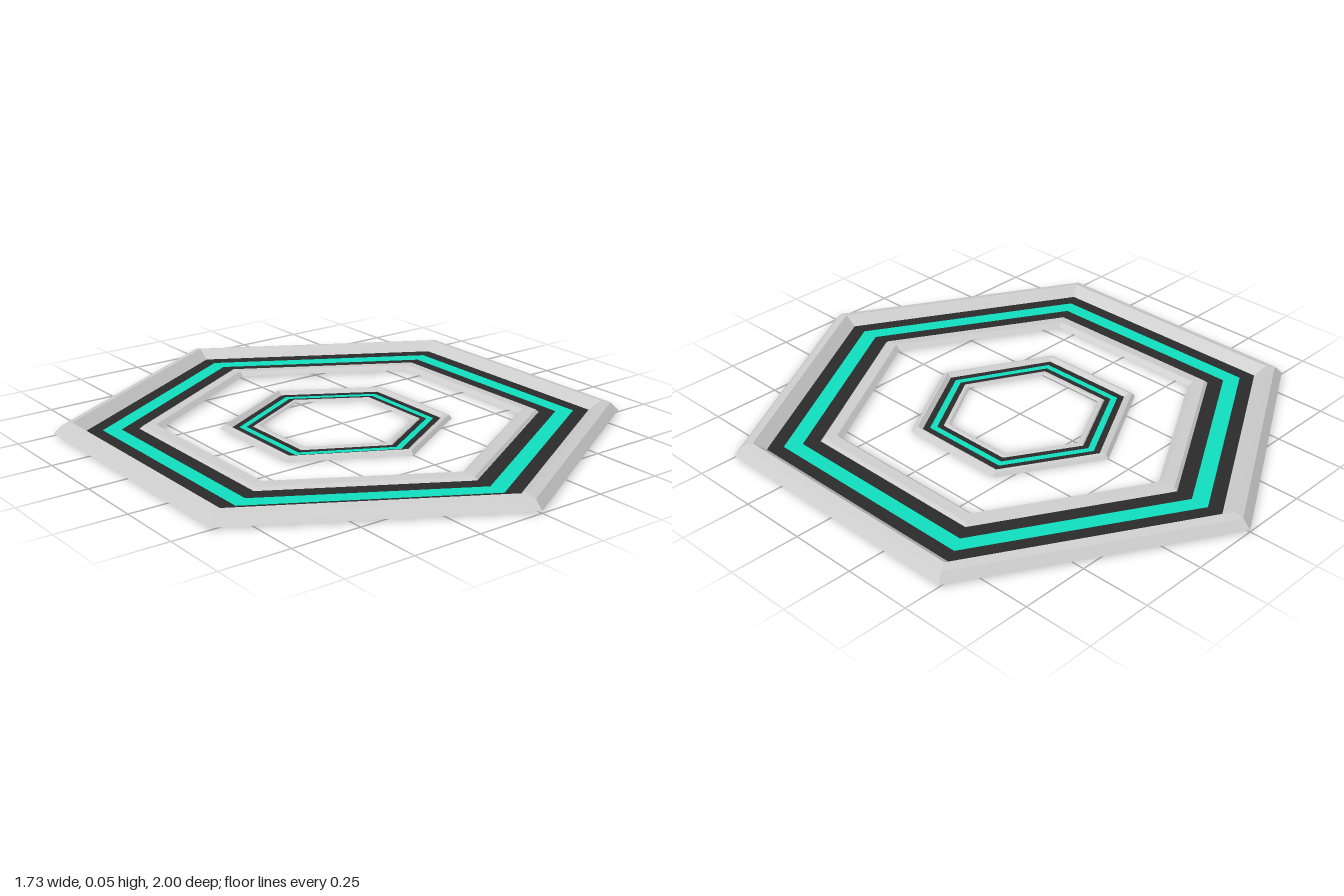
import * as THREE from 'three';

const material = (color) => new THREE.MeshStandardMaterial({ color, flatShading: true, side: THREE.DoubleSide });
const grey = material(0xcccccc);
const dark = material(0x2a2a2a);
const teal = material(0x10dcbc);

// Hexagonal band swept through a profile of [radius, height] points, outside to inside
function hexBand(name, mat, profile, { sideShift = 0, squash = 1, z0 = 0 } = {}) {
  const corner = ([r, y], i) => {
    const a = (i * Math.PI) / 3;
    const isApex = i % 3 === 0;
    return [r * Math.sin(a) + (isApex ? 0 : sideShift), y, r * Math.cos(a) * squash + z0];
  };
  const pos = [];
  for (let p = 0; p < profile.length - 1; p++) {
    for (let i = 0; i < 6; i++) {
      const a = corner(profile[p], i), b = corner(profile[p], i + 1);
      const c = corner(profile[p + 1], i + 1), d = corner(profile[p + 1], i);
      pos.push(...a, ...b, ...c, ...a, ...c, ...d);
    }
  }
  const geo = new THREE.BufferGeometry();
  geo.setAttribute('position', new THREE.Float32BufferAttribute(pos, 3));
  geo.computeVertexNormals();
  const mesh = new THREE.Mesh(geo, mat);
  mesh.name = name;
  return mesh;
}

// Frame ring: outer ridge, recessed channel with a coloured stripe, inner lip
function hexRing(name, outer, channel, inner, floor, shape) {
  const group = new THREE.Group();
  group.name = name;
  const flat = (from, to) => [[channel[from], floor], [channel[to], floor]];
  group.add(
    hexBand('outerRidge', grey, [...outer, [channel[0], floor]], shape),
    hexBand('outerChannel', dark, flat(0, 1), shape),
    hexBand('stripe', teal, flat(1, 2), shape),
    hexBand('innerChannel', dark, flat(2, 3), shape),
    hexBand('innerLip', grey, [[channel[3], floor], ...inner], shape),
  );
  return group;
}

export function createModel() {
  const model = new THREE.Group();
  model.name = 'hexagonalRings';
  model.add(
    hexRing('largeRing',
      [[1, 0.007], [0.97, 0.037], [0.935, 0.045]],
      [0.89, 0.833, 0.768, 0.707],
      [[0.695, 0.022], [0.65, 0.025], [0.63, 0.01]],
      0.012),
    hexRing('smallRing',
      [[0.415, 0], [0.403, 0.013], [0.391, 0.016]],
      [0.373, 0.347, 0.321, 0.298],
      [[0.293, 0.007], [0.28, 0.008], [0.271, 0.002]],
      0.003, { sideShift: -0.015, squash: 0.97, z0: -0.01 }),
  );
  return model;
}
